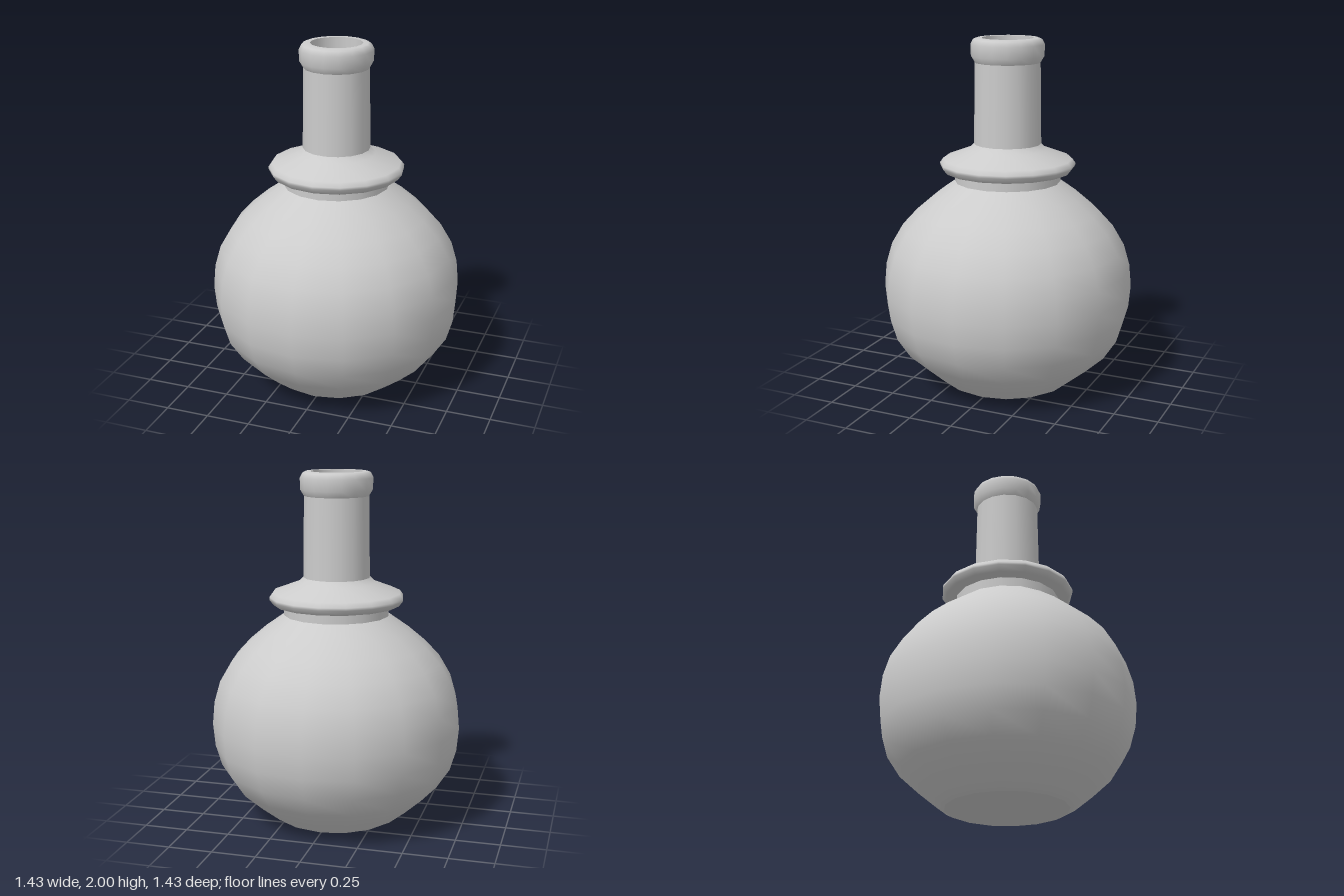
import * as THREE from 'three';

const SIDES = 16;
const material = new THREE.MeshStandardMaterial({ color: 0xcccccc, side: THREE.DoubleSide });

// Revolve a profile of [radius, height] pairs, listed along the surface
function turned(name, profile) {
  const points = profile.map(([r, y]) => new THREE.Vector2(r, y));
  const mesh = new THREE.Mesh(new THREE.LatheGeometry(points, SIDES), material);
  mesh.name = name;
  return mesh;
}

export function createModel() {
  const flask = new THREE.Group();
  flask.name = 'flask';

  // Flat underside
  flask.add(turned('base', [[0, 0], [0.34, 0]]));

  // Round belly
  flask.add(turned('body', [
    [0.34, 0], [0.38, 0.02], [0.485, 0.105], [0.595, 0.205], [0.67, 0.32], [0.705, 0.44],
    [0.717, 0.57], [0.705, 0.7], [0.67, 0.82], [0.603, 0.935], [0.52, 1.025], [0.42, 1.11], [0.3, 1.195],
  ]));

  // Short shoulder under the collar
  flask.add(turned('shoulder', [[0.3, 1.195], [0.3, 1.25]]));

  // Flared collar, sloping up into the neck
  flask.add(turned('collar', [
    [0.28, 1.245], [0.36, 1.255], [0.383, 1.285], [0.383, 1.3], [0.365, 1.325], [0.22, 1.38], [0.19, 1.41],
  ]));

  // Straight neck
  flask.add(turned('neck', [[0.19, 1.4], [0.183, 1.87]]));

  // Rolled lip
  flask.add(turned('lip', [
    [0.183, 1.865], [0.204, 1.9], [0.206, 1.965], [0.192, 1.992], [0.175, 2], [0.145, 2],
  ]));

  // Bore of the neck and its floor
  flask.add(turned('bore', [[0.145, 2], [0.145, 1.4]]));
  flask.add(turned('boreFloor', [[0.145, 1.4], [0, 1.4]]));

  return flask;
}
